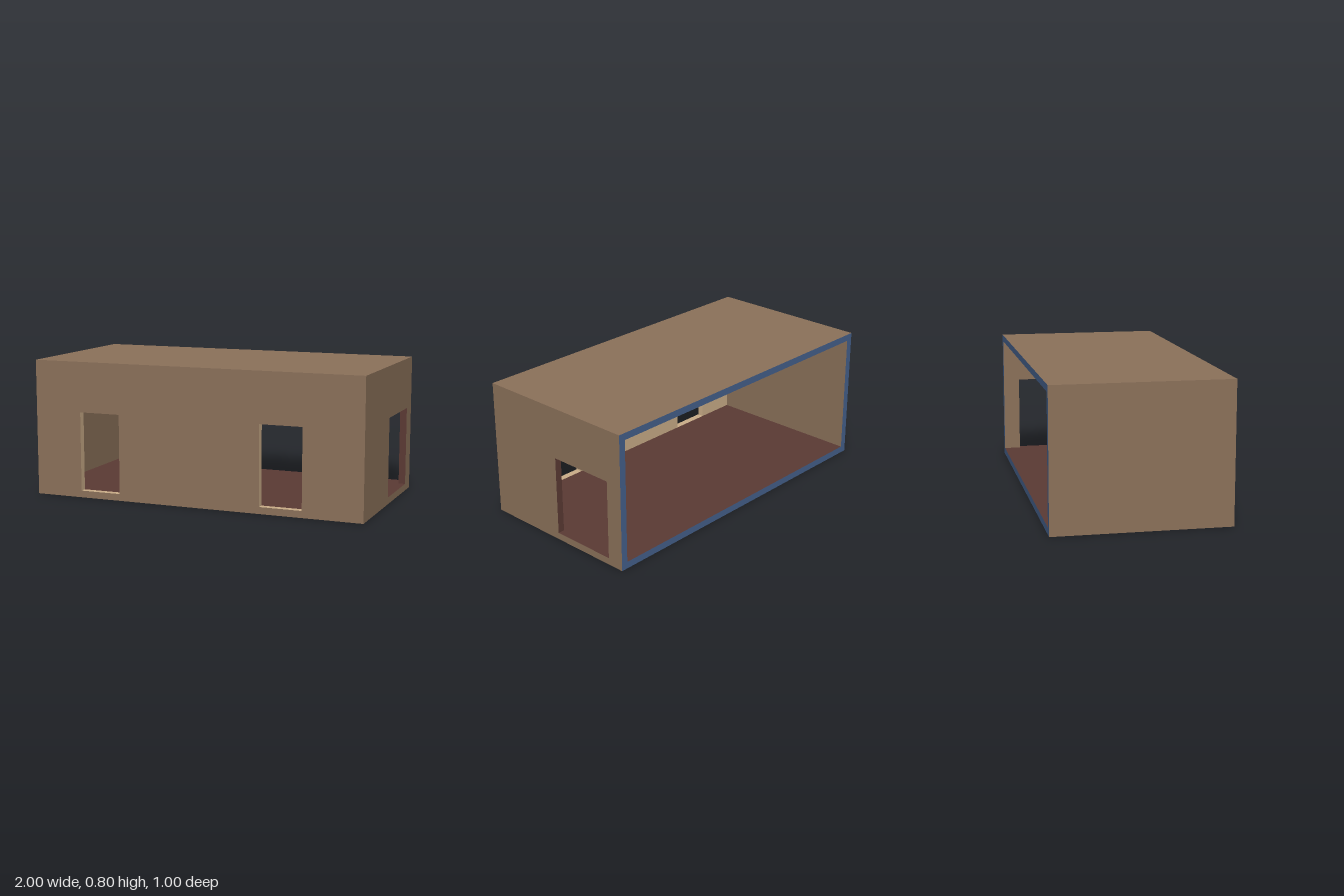
import * as THREE from 'three';

const T = 0.04, W = 2, H = 0.8, D = 1; // wall thickness and outer size

function mat(name, color) {
  const m = new THREE.MeshStandardMaterial({ color });
  m.name = name;
  return m;
}

export function createModel() {
  const brown = mat('wallBrown', 0x8b715a);
  const tan = mat('liningTan', 0xcaad88);
  const red = mat('floorRedBrown', 0x5b3a34);
  const blue = mat('rimBlue', 0x45618c);
  const palette = [brown, tan, red, blue];

  const room = new THREE.Group();
  room.name = 'room';

  function add(name, geometry, material) {
    const mesh = new THREE.Mesh(geometry, material);
    mesh.name = name;
    room.add(mesh);
    return mesh;
  }

  // Solid slab; its back edge is the blue rim
  function slab(name, w, h, d, x, y, z, top = brown) {
    add(name, new THREE.BoxGeometry(w, h, d), [brown, brown, top, brown, brown, blue])
      .position.set(x, y, z);
  }

  // Upright wall with rectangular openings [u0, v0, u1, v1], extruded by T
  function rect(path, u0, v0, u1, v1) {
    path.moveTo(u0, v0);
    path.lineTo(u1, v0);
    path.lineTo(u1, v1);
    path.lineTo(u0, v1);
    path.closePath();
    return path;
  }
  function wall(u0, u1, openings) {
    const shape = rect(new THREE.Shape(), u0, 0, u1, H);
    for (const o of openings) shape.holes.push(rect(new THREE.Path(), ...o));
    return new THREE.ExtrudeGeometry(shape, { depth: T, bevelEnabled: false });
  }

  // Give each triangle a material by its centre and normal
  function paint(geometry, rule) {
    const p = geometry.attributes.position;
    const tri = new THREE.Triangle(), c = new THREE.Vector3(), n = new THREE.Vector3();
    geometry.clearGroups();
    for (let i = 0; i < p.count; i += 3) {
      tri.setFromAttributeAndIndices(p, i, i + 1, i + 2);
      tri.getMidpoint(c);
      tri.getNormal(n);
      geometry.addGroup(i, 3, palette.indexOf(rule(c, n)));
    }
    return geometry;
  }

  const edge = (v, limit) => Math.abs(v) > limit - 0.001;
  const topOrBottom = (c) => c.y < 0.001 || c.y > H - 0.001;

  // Floor, roof and the closed side wall
  const inner = D - T, zMid = -T / 2;
  slab('floor', W - 2 * T, T, inner, 0, T / 2, zMid, red);
  slab('roof', W - 2 * T, T, inner, 0, H - T / 2, zMid);
  slab('closedSideWall', T, H, inner, -W / 2 + T / 2, H / 2, zMid);

  // Front wall with two openings, tan inside and in the reveals
  const front = wall(-W / 2, W / 2, [[-0.712, T, -0.462, 0.505], [0.4, T, 0.65, 0.505]]);
  front.translate(0, 0, D / 2 - T);
  paint(front, (c, n) =>
    n.z > 0.9 || edge(c.x, W / 2) || topOrBottom(c) ? brown : tan);
  add('frontWall', front, palette);

  // Side wall with one opening and dark reveals
  const side = wall(-D / 2 + T, D / 2, [[0, T, 0.4, 0.502]]);
  side.rotateY(Math.PI / 2).translate(W / 2 - T, 0, 0);
  paint(side, (c, n) => {
    if (c.z < -D / 2 + 0.001) return blue;
    return Math.abs(n.x) > 0.9 || topOrBottom(c) ? brown : red;
  });
  add('openSideWall', side, palette);

  return room;
}
